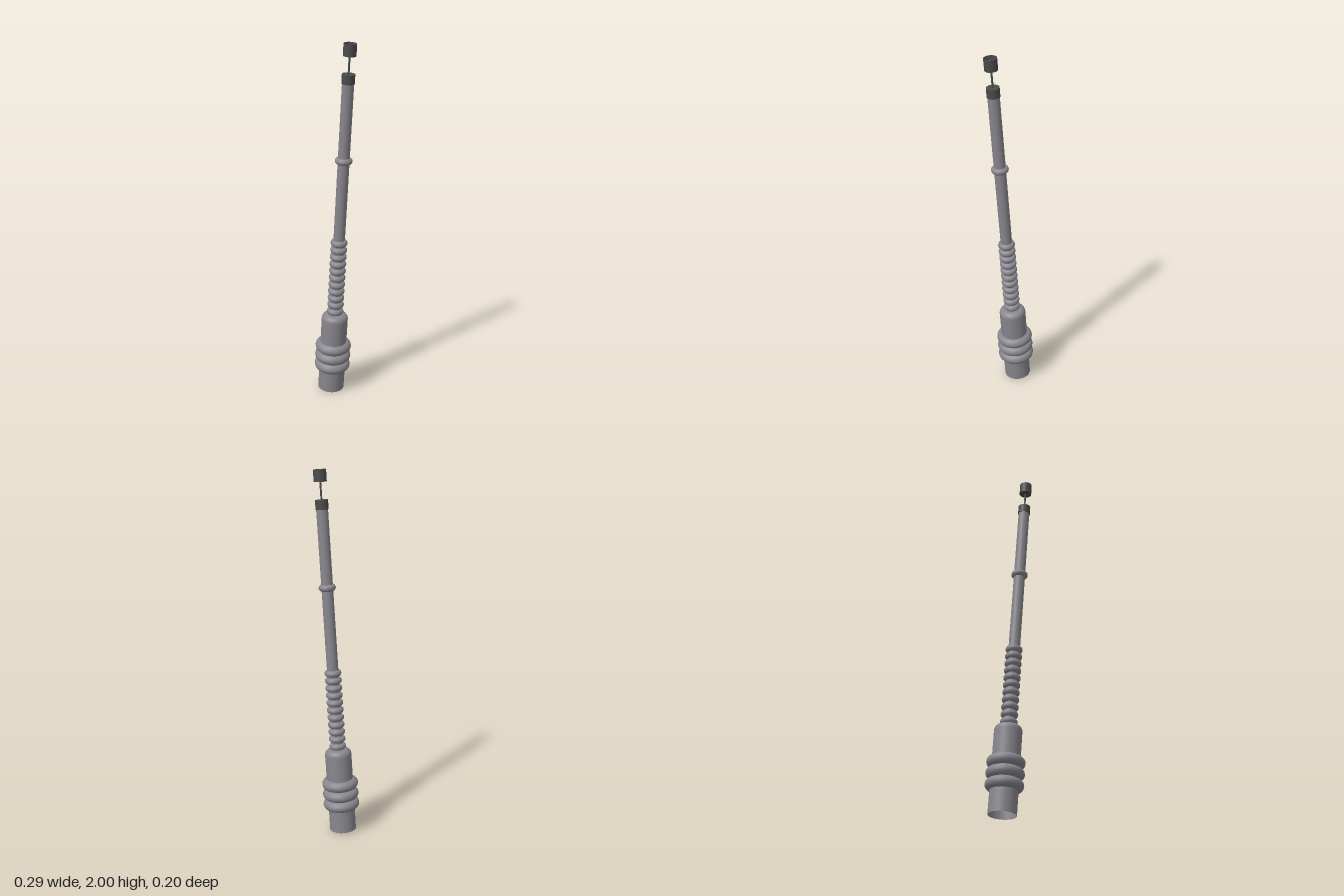
import * as THREE from 'three';

export function createModel() {
  const grey = new THREE.MeshStandardMaterial({ color: 0x89878e, side: THREE.DoubleSide });
  grey.name = 'metal grey';
  const dark = new THREE.MeshStandardMaterial({ color: 0x4c4c4d, side: THREE.DoubleSide });
  dark.name = 'dark grey';

  const model = new THREE.Group();
  model.name = 'segmentedRod';
  // everything is built upright, then leaned towards +x
  const rod = new THREE.Group();
  rod.name = 'leaningRod';
  rod.position.set(-0.058, 0.006, 0);
  rod.rotation.z = -0.083;
  model.add(rod);

  const add = (name, geometry, material, y = 0) => {
    const mesh = new THREE.Mesh(geometry, material);
    mesh.name = name;
    mesh.position.y = y;
    rod.add(mesh);
    return mesh;
  };
  // separate lathes for each straight run keep the edges sharp
  const lathe = (name, points, material) =>
    add(name, new THREE.LatheGeometry(points.map(([r, y]) => new THREE.Vector2(r, y)), 40), material);
  const ring = (name, radius, tube, y, stretch = 1) => {
    const geometry = new THREE.TorusGeometry(radius - tube, tube, 14, 40);
    geometry.rotateX(Math.PI / 2).scale(1, stretch, 1);
    return add(name, geometry, grey, y);
  };

  // hollow handle with a rounded shoulder
  lathe('handle', [[0.073, 0], [0.073, 0.445]], grey);
  const shoulder = [];
  for (let i = 0; i <= 8; i++) {
    const a = (i / 8) * Math.PI / 2;
    shoulder.push([0.043 + 0.03 * Math.cos(a), 0.445 + 0.03 * Math.sin(a)]);
  }
  lathe('handleShoulder', [...shoulder, [0.03, 0.475]], grey);

  // three thick grip rings
  for (let i = 0; i < 3; i++) ring('gripRing', 0.1, 0.032, 0.153 + i * 0.06, 0.94);

  // shaft with ribbed neck and a single collar ring
  lathe('shaft', [[0.031, 0.47], [0.031, 1.8]], grey);
  const ribs = 11;
  for (let i = 0; i < ribs; i++) ring('neckRib', 0.046, 0.018, 0.493 + i * 0.0418);
  ring('shaftRing', 0.046, 0.018, 1.381);

  // dark end collar
  lathe('endCollar', [[0.034, 1.793], [0.034, 1.842]], dark);
  lathe('endCollarTop', [[0.034, 1.842], [0.0001, 1.842]], dark);
  lathe('endCollarBase', [[0.03, 1.793], [0.034, 1.793]], dark);

  // thin wire carrying the tip
  add('wire', new THREE.CylinderGeometry(0.005, 0.005, 0.14, 12), dark, 1.9);

  // tip cup with a recessed top
  lathe('tipWall', [[0.034, 1.935], [0.034, 1.997]], dark);
  lathe('tipBase', [[0.0001, 1.935], [0.034, 1.935]], dark);
  lathe('tipRim', [[0.034, 1.997], [0.03, 1.997]], dark);
  lathe('tipInnerWall', [[0.03, 1.997], [0.03, 1.978]], dark);
  lathe('tipFloor', [[0.03, 1.978], [0.0001, 1.978]], dark);
  add('tipHub', new THREE.CylinderGeometry(0.008, 0.008, 0.012, 6), dark, 1.982);
  for (const side of [-1, 1]) {
    const tab = add('tipTab', new THREE.BoxGeometry(0.012, 0.012, 0.006), dark, 1.983);
    tab.position.z = side * 0.026;
  }

  return model;
}
